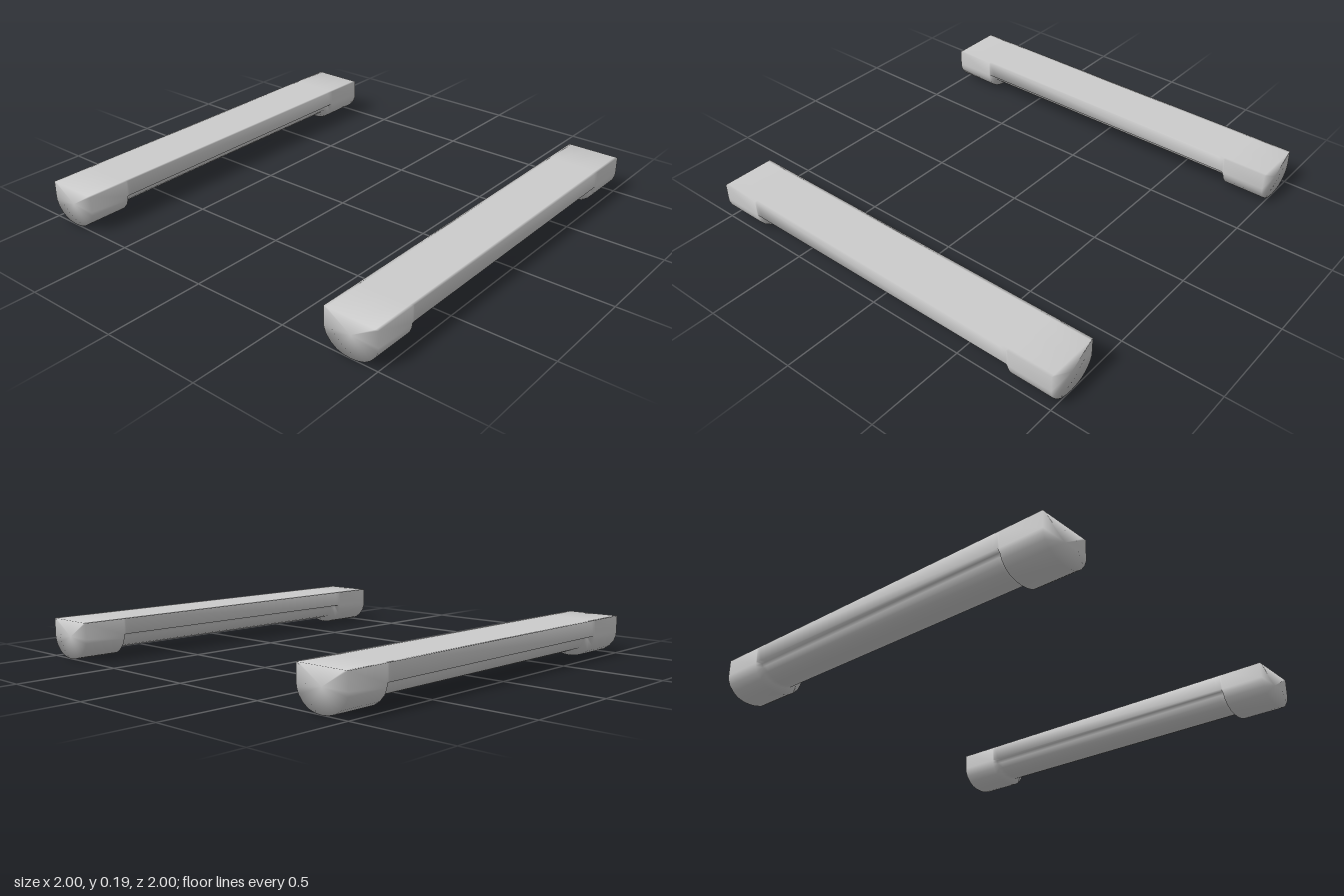
import * as THREE from 'three';

const material = new THREE.MeshStandardMaterial({ color: 0xcccccc });

// Half cross-sections [x, y], from top centre round to bottom centre
const endHalf = [
  [0, 0.19], [0.122, 0.19], [0.1375, 0.19], [0.1375, 0.11], [0.136, 0.09],
  [0.125, 0.062], [0.1, 0.033], [0.07, 0.013], [0.035, 0.003], [0, 0],
];
const middleHalf = [
  [0, 0.19], [0.122, 0.19], [0.1375, 0.19], [0.1375, 0.112], [0.108, 0.112],
  [0.104, 0.094], [0.09, 0.067], [0.065, 0.046], [0.035, 0.034], [0, 0.03],
];

// Mirror a half section into a closed ring
function fullRing(half) {
  const mirrored = half.slice(1, -1).reverse().map(([x, y]) => [-x, y]);
  return [...half, ...mirrored];
}

// One continuous smooth skin lofted through the stations, closed by end caps
function createBarGeometry() {
  const end = fullRing(endHalf), middle = fullRing(middleHalf);
  const stations = [
    [-1, end], [-0.78, end], [-0.77, middle], [-0.74, middle],
    [0.74, middle], [0.77, middle], [0.78, end], [1, end],
  ];
  const n = end.length, last = (stations.length - 1) * n;
  const positions = [], index = [];
  for (const [z, ring] of stations) for (const [x, y] of ring) positions.push(x, y, z);

  for (let s = 0; s < stations.length - 1; s++) {
    for (let i = 0; i < n; i++) {
      const a = s * n + i, b = s * n + (i + 1) % n;
      index.push(a, a + n, b, b, a + n, b + n);
    }
  }

  // End caps share the rim vertices, so the shading flows round the ends
  const back = positions.length / 3, front = back + 1;
  positions.push(0, 0.11, -1, 0, 0.11, 1);
  for (let i = 0; i < n; i++) {
    const j = (i + 1) % n;
    index.push(back, i, j, front, last + j, last + i);
  }

  const geometry = new THREE.BufferGeometry();
  geometry.setAttribute('position', new THREE.Float32BufferAttribute(positions, 3));
  geometry.setIndex(index);
  geometry.computeVertexNormals();
  return geometry;
}

export function createModel() {
  const group = new THREE.Group();
  group.name = 'pairOfRails';
  const geometry = createBarGeometry();
  for (const side of [1, -1]) {
    const rail = new THREE.Mesh(geometry, material);
    rail.name = side > 0 ? 'leftRail' : 'rightRail';
    rail.position.x = side * 0.8625;
    group.add(rail);
  }
  return group;
}
